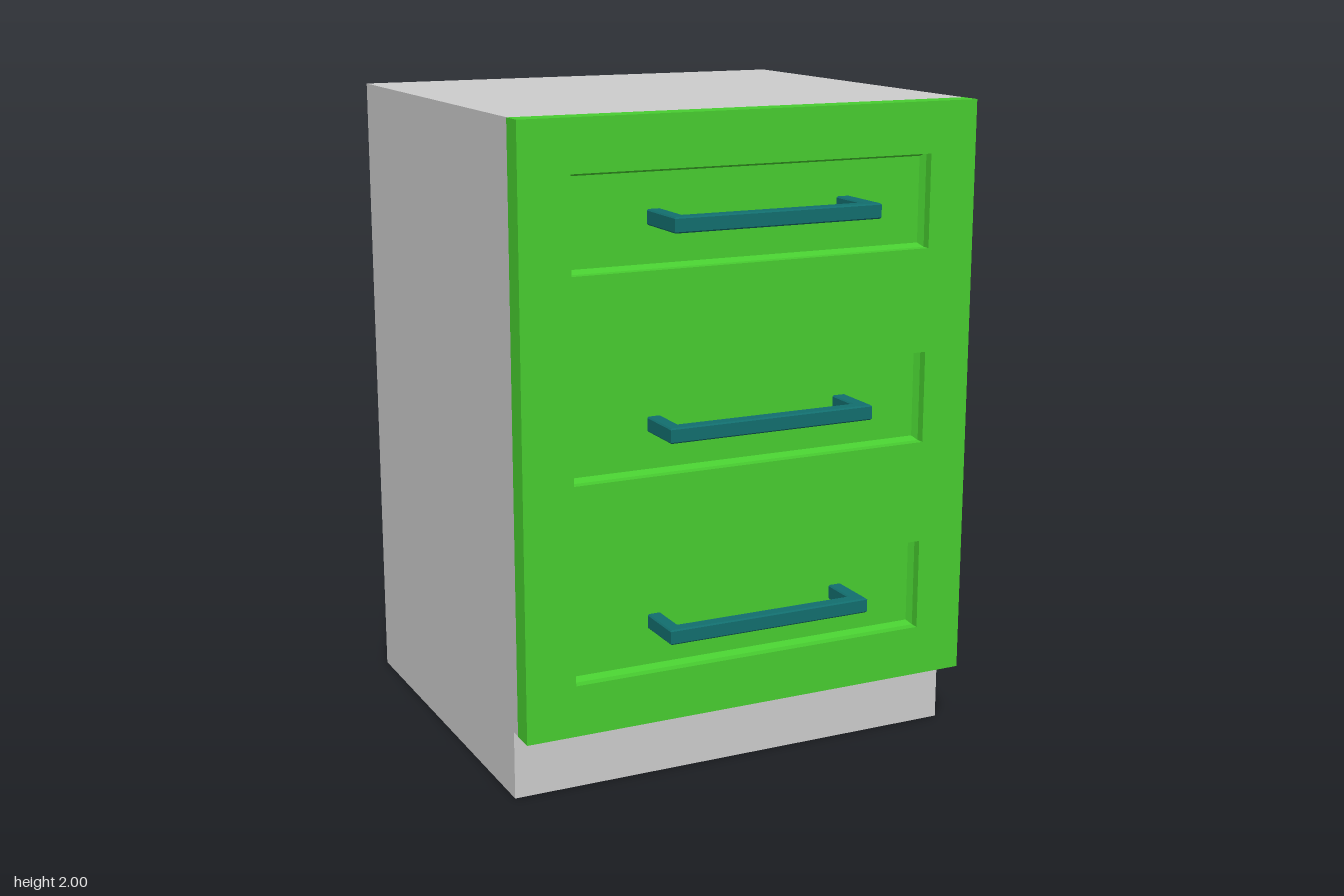
import * as THREE from 'three';

const grey = new THREE.MeshStandardMaterial({ color: 0xcccccc });
const green = new THREE.MeshStandardMaterial({ color: 0x47cc30 });
const teal = new THREE.MeshStandardMaterial({ color: 0x126e6e });

const HALF = 0.733, BACK = -0.737, FRONT = 0.602, PANEL_BACK = 0.53;
const KICK_Y = 0.21, KICK_Z = 0.492;
const DRAWERS = [ // recess centre height, handle front
  { y: 0.507, handleFront: 0.712 },
  { y: 1.106, handleFront: 0.712 },
  { y: 1.705, handleFront: 0.737 },
];
const RW = 0.578, RH = 0.141; // recess half width and half height

function add(parent, name, geometry, material) {
  const mesh = new THREE.Mesh(geometry, material);
  mesh.name = name;
  parent.add(mesh);
  return mesh;
}

function polygon(points, Type = THREE.Shape) {
  return new Type(points.map(([x, y]) => new THREE.Vector2(x, y)));
}

// Chamfered recess bottom: outer rectangle, inner rectangle set deeper, flat floor
function recessGeometry() {
  const rect = (w, h, z) => [[-w, -h, z], [w, -h, z], [w, h, z], [-w, h, z]];
  const corners = [...rect(RW, RH, 0.575), ...rect(RW - 0.011, RH - 0.011, 0.555)];
  const index = [4, 5, 6, 4, 6, 7];
  for (let i = 0; i < 4; i++) {
    const j = (i + 1) % 4;
    index.push(i, j, j + 4, i, j + 4, i + 4);
  }
  const geometry = new THREE.BufferGeometry();
  geometry.setAttribute('position', new THREE.Float32BufferAttribute(corners.flat(), 3));
  geometry.setIndex(index);
  const flat = geometry.toNonIndexed();
  flat.computeVertexNormals();
  return flat;
}

// Square-section U handle, outlined in plan with finely bevelled edges
function handleGeometry(front) {
  const b = 0.004, w = 0.328 - b, t = 0.043 - 2 * b, root = 0.55, f = front - b;
  const shape = polygon([
    [-w, -root], [-w, -f], [w, -f], [w, -root],
    [w - t, -root], [w - t, -f + t], [-w + t, -f + t], [-w + t, -root],
  ]);
  const height = 0.045;
  const geometry = new THREE.ExtrudeGeometry(shape, {
    depth: height - 2 * b, bevelEnabled: true, bevelSize: b, bevelThickness: b, bevelSegments: 1,
  });
  geometry.translate(0, 0, -height / 2 + b);
  return geometry.rotateX(-Math.PI / 2);
}

export function createModel() {
  const model = new THREE.Group();
  model.name = 'drawerCabinet';

  // Carcass: side profile with toe kick, extruded across the width
  const profile = polygon([
    [BACK, 0], [KICK_Z, 0], [KICK_Z, KICK_Y], [PANEL_BACK, KICK_Y], [PANEL_BACK, 2], [BACK, 2],
  ].map(([z, y]) => [-z, y]));
  const carcass = new THREE.ExtrudeGeometry(profile, { depth: 2 * HALF - 0.004, bevelEnabled: false });
  carcass.translate(0, 0, -HALF + 0.002).rotateY(Math.PI / 2);
  add(model, 'carcass', carcass, grey);

  // Front panel with an opening for each drawer
  const face = polygon([[-HALF, KICK_Y], [HALF, KICK_Y], [HALF, 2], [-HALF, 2]]);
  for (const { y } of DRAWERS) {
    face.holes.push(polygon(
      [[-RW, y - RH], [-RW, y + RH], [RW, y + RH], [RW, y - RH]], THREE.Path));
  }
  const panel = new THREE.ExtrudeGeometry(face, { depth: FRONT - PANEL_BACK, bevelEnabled: false });
  add(model, 'frontPanel', panel.translate(0, 0, PANEL_BACK), green);

  // Recessed drawer fields and their handles
  DRAWERS.forEach(({ y, handleFront }, i) => {
    const drawer = new THREE.Group();
    drawer.name = `drawer${i + 1}`;
    drawer.position.y = y;
    add(drawer, 'recess', recessGeometry(), green);
    add(drawer, 'handle', handleGeometry(handleFront), teal).position.y = 0.003;
    model.add(drawer);
  });

  return model;
}
